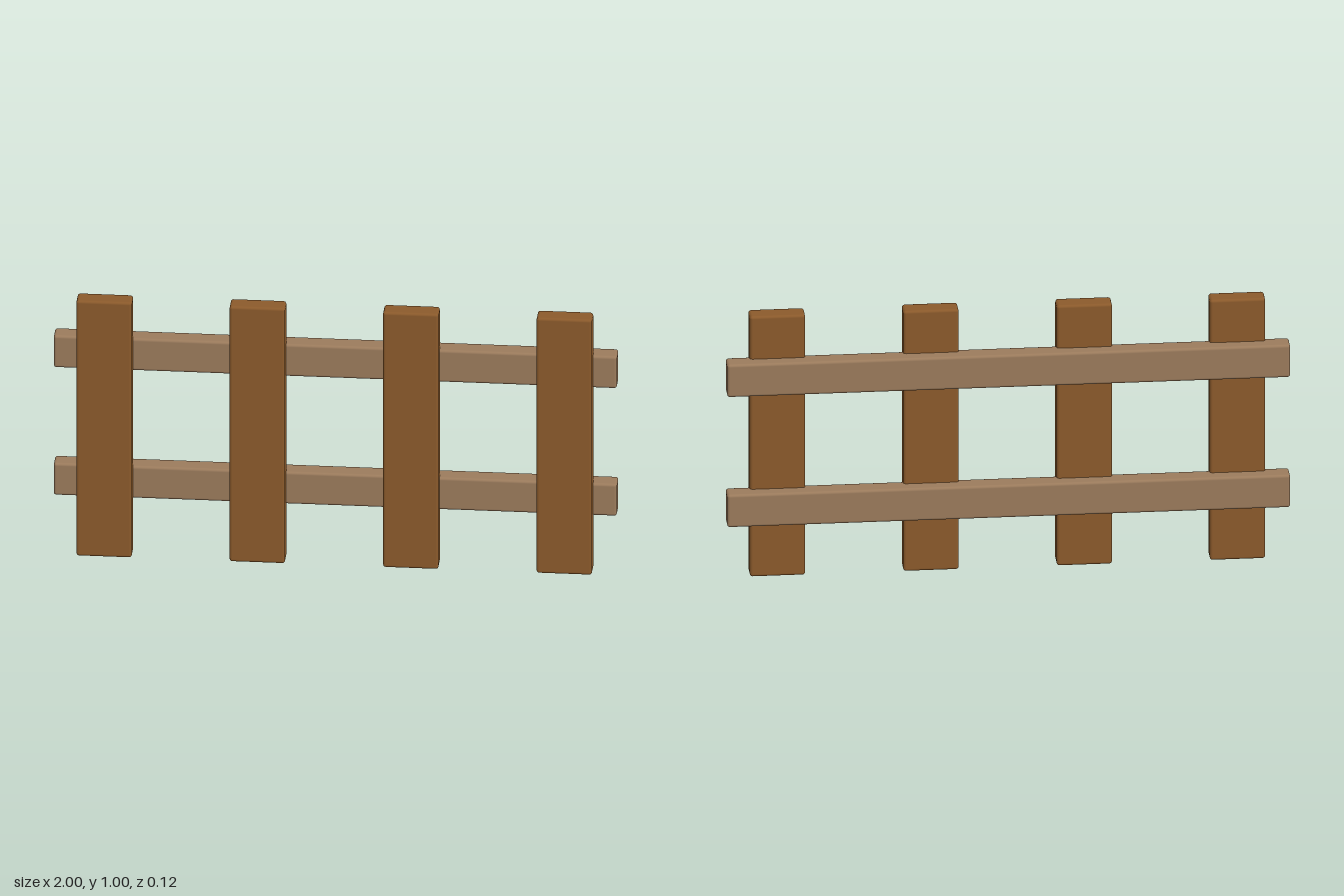
import * as THREE from 'three';
import { RoundedBoxGeometry } from 'three/addons/geometries/RoundedBoxGeometry.js';

export function createModel() {
  const fence = new THREE.Group();
  fence.name = 'fence';

  const plankWood = new THREE.MeshStandardMaterial({ color: 0x8b5a2b });
  plankWood.name = 'dark brown wood';
  const railWood = new THREE.MeshStandardMaterial({ color: 0x9b7b5c });
  railWood.name = 'light brown wood';

  const add = (name, geometry, material, x, y, z) => {
    const mesh = new THREE.Mesh(geometry, material);
    mesh.name = name;
    mesh.position.set(x, y, z);
    fence.add(mesh);
  };

  // Upright planks at the front, softly bevelled
  const plank = new RoundedBoxGeometry(0.197, 1, 0.071, 2, 0.01);
  [-0.817, -0.273, 0.272, 0.817].forEach((x, i) =>
    add(`plank${i + 1}`, plank, plankWood, x, 0.5, 0.0235));

  // Two long rails, set slightly into the backs of the planks
  const rail = new RoundedBoxGeometry(2, 0.125, 0.071, 2, 0.01);
  add('lowerRail', rail, railWood, 0, 0.275, -0.0235);
  add('upperRail', rail, railWood, 0, 0.775, -0.0235);

  return fence;
}
